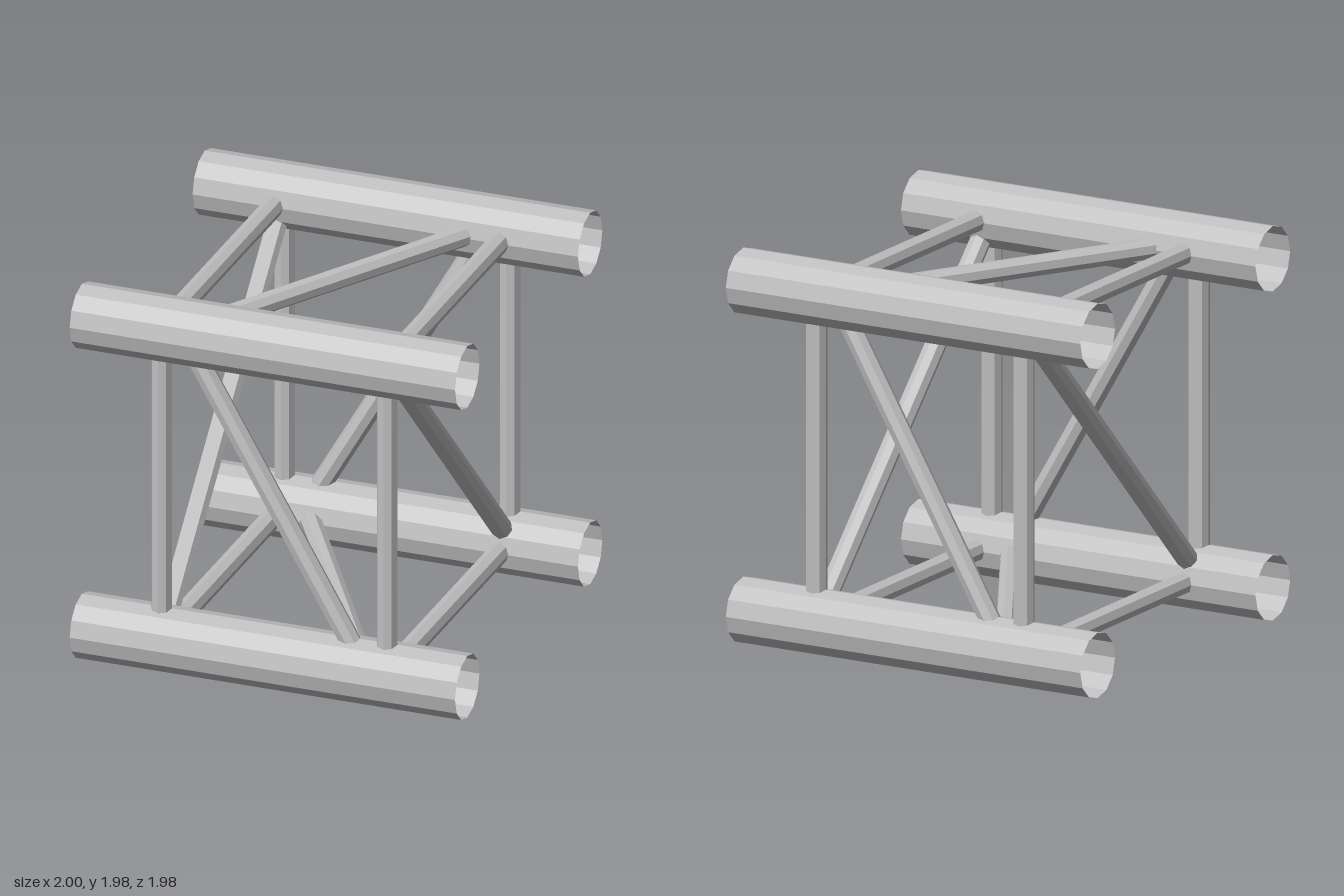
import * as THREE from 'three';

export function createModel() {
  const model = new THREE.Group();
  model.name = 'boxTruss';

  const metal = new THREE.MeshStandardMaterial({ color: 0xc0c0c0, flatShading: true, side: THREE.DoubleSide });
  metal.name = 'aluminium grey';

  const H = 0.826;        // half distance between chord axes
  const MID = 0.99;       // height of the truss centre
  const CHORD_R = 0.164, STRUT_R = 0.053;
  const FRAME_X = 0.585;  // end frames
  const DIAG_X = 0.476;   // ends of the face diagonals

  // Open tube between two points, given relative to the truss centre
  const tube = (name, a, b, radius, sides) => {
    const from = new THREE.Vector3(...a), to = new THREE.Vector3(...b);
    const dir = to.clone().sub(from);
    const mesh = new THREE.Mesh(new THREE.CylinderGeometry(radius, radius, dir.length(), sides, 1, true), metal);
    mesh.position.copy(from).add(to).multiplyScalar(0.5);
    mesh.position.y += MID;
    mesh.quaternion.setFromUnitVectors(new THREE.Vector3(0, 1, 0), dir.normalize());
    mesh.name = name;
    model.add(mesh);
  };
  const strut = (name, a, b) => tube(name, a, b, STRUT_R, 8);

  // Four main chords along x
  for (const y of [-H, H])
    for (const z of [-H, H]) tube('chord', [-1, y, z], [1, y, z], CHORD_R, 12);

  for (const s of [-1, 1]) {
    // Square end frame with its cross brace
    const x = s * FRAME_X;
    for (const t of [-H, H]) {
      strut('upright', [x, -H, t], [x, H, t]);
      strut('crossbar', [x, t, -H], [x, t, H]);
    }
    strut('frameBrace', [x, H, s * H], [x, -H, -s * H]);

    // Diagonals on front/back and top/bottom faces
    strut('sideDiagonal', [-s * DIAG_X, H, s * H], [s * DIAG_X, -H, s * H]);
    strut('flatDiagonal', [-s * DIAG_X, s * H, H], [s * DIAG_X, s * H, -H]);
  }
  return model;
}
